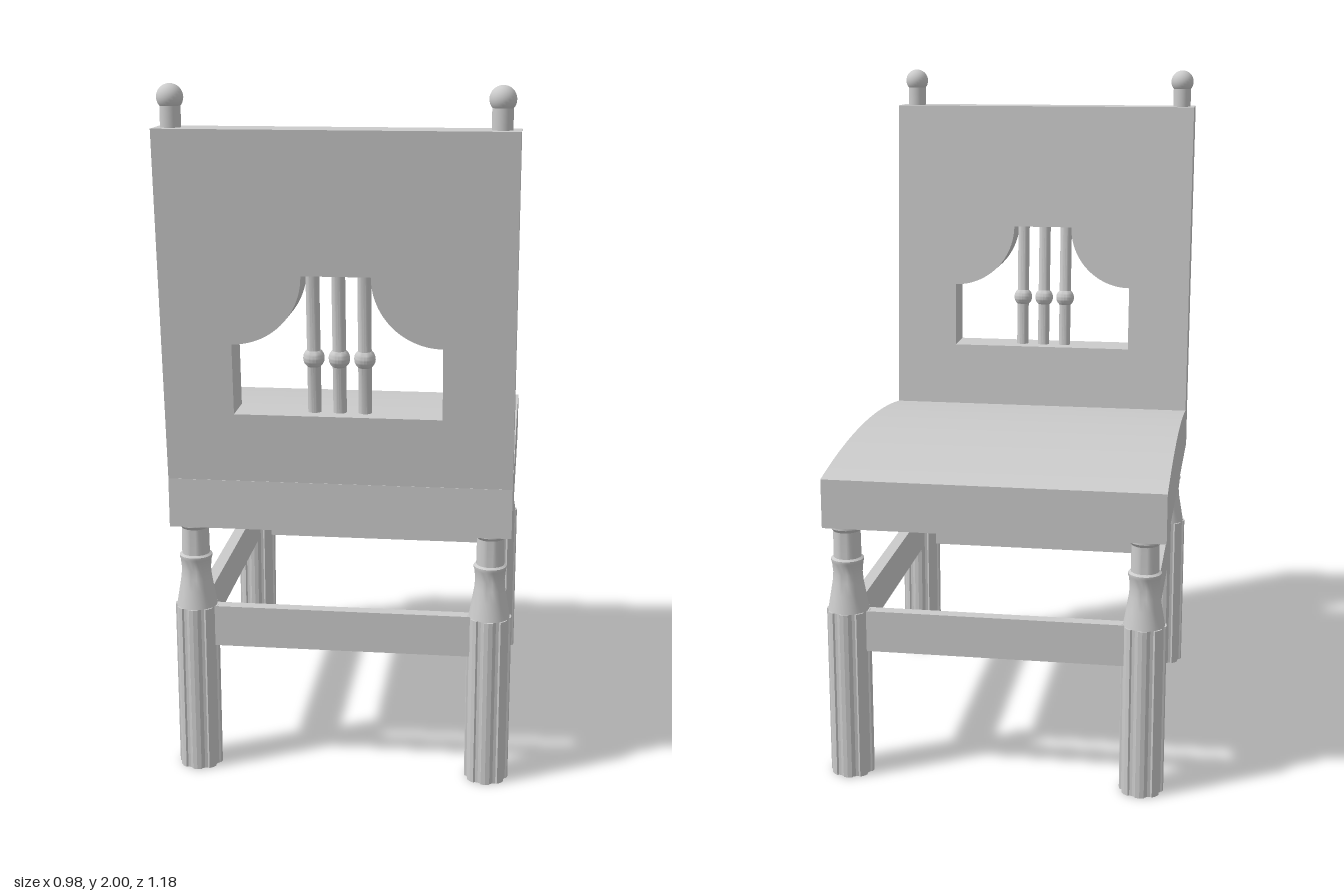
import * as THREE from 'three';
import { toCreasedNormals } from 'three/addons/utils/BufferGeometryUtils.js';

const material = new THREE.MeshStandardMaterial({ color: 0xcccccc });
const CX = -0.003; // centre line of the chair
const LEG_X = 0.426, LEG_Z = [-0.53, 0.452];
const SLOPE = 0.082; // lean of the back, z per unit of height
const lean = (y) => SLOPE * (y - 0.9);
const v = (points) => points.map(([x, y]) => new THREE.Vector2(x, y));

export function createModel() {
  const model = new THREE.Group();
  const add = (name, geometry, x = 0, y = 0, z = 0, parent = model) => {
    const mesh = new THREE.Mesh(geometry, material);
    mesh.name = name;
    mesh.position.set(x, y, z);
    parent.add(mesh);
    return mesh;
  };
  const extrude = (shape, depth) =>
    new THREE.ExtrudeGeometry(shape, { depth, bevelEnabled: false, curveSegments: 20 });
  const lathe = (points, sides = 28) =>
    toCreasedNormals(new THREE.LatheGeometry(v(points), sides), 0.6);

  // Seat: side profile with a gently domed top, swept across the width
  const side = new THREE.Shape();
  side.moveTo(-0.58, 0.757);
  side.lineTo(0.511, 0.757);
  side.lineTo(0.511, 0.9);
  side.lineTo(0.392, 0.9);
  side.quadraticCurveTo(-0.095, 0.98, -0.58, 0.9);
  side.closePath();
  const seat = extrude(side, 0.972);
  seat.rotateY(-Math.PI / 2);
  seat.translate(0.486, 0, 0);
  add('seat', toCreasedNormals(seat, 0.4), CX);

  // Back panel with a shouldered opening, sheared backwards
  const panel = new THREE.Shape(v([[-0.486, 0.9], [0.486, 0.9], [0.486, 1.885], [-0.486, 1.885]]));
  const opening = new THREE.Path();
  opening.moveTo(-0.29, 1.098);
  opening.lineTo(-0.29, 1.3);
  opening.absarc(-0.29, 1.495, 0.195, -Math.PI / 2, 0, false);
  opening.lineTo(0.095, 1.495);
  opening.absarc(0.29, 1.495, 0.195, Math.PI, Math.PI * 1.5, false);
  opening.lineTo(0.29, 1.098);
  opening.closePath();
  panel.holes.push(opening);
  const back = extrude(panel, 0.118);
  const pos = back.attributes.position;
  for (let i = 0; i < pos.count; i++) pos.setZ(i, pos.getZ(i) + 0.392 + lean(pos.getY(i)));
  back.computeVertexNormals();
  add('backPanel', toCreasedNormals(back, 0.4), CX);

  // Three beaded spindles, leaning with the back
  const beadArc = [];
  for (let i = 0; i <= 10; i++) {
    const a = -0.88 + (1.76 * i) / 10;
    beadArc.push([0.03 * Math.cos(a), 0.157 + 0.03 * Math.sin(a)]);
  }
  const spindle = lathe([[0.019, -0.01], [0.019, 0.133], ...beadArc, [0.019, 0.181], [0.019, 0.405]], 20);
  for (const x of [-0.071, 0, 0.071]) {
    const mesh = add('backSpindle', spindle, CX + x, 1.098, 0.451 + lean(1.098));
    mesh.rotation.x = Math.atan(SLOPE);
  }

  // Finials: short neck with a ball
  for (const s of [-1, 1]) {
    const finial = new THREE.Group();
    finial.name = 'finial';
    finial.position.set(s * 0.44 - 0.007, 1.88, 0.532);
    add('finialNeck', new THREE.CylinderGeometry(0.028, 0.028, 0.07, 24), 0, 0.035, 0, finial);
    add('finialBall', new THREE.SphereGeometry(0.036, 24, 16), 0, 0.084, 0, finial);
    model.add(finial);
  }

  // Leg shaft: eight flat ridges with shallow flutes between them
  const outline = [];
  for (let k = 0; k < 8; k++) {
    const a = (k * Math.PI) / 4;
    for (const [da, r] of [[-0.2, 0.063], [0, 0.064], [0.2, 0.063], [0.25, 0.058], [0.39, 0.056], [0.535, 0.058]])
      outline.push([r * Math.cos(a + da), r * Math.sin(a + da)]);
  }
  const shaft = extrude(new THREE.Shape(v(outline)), 0.503);
  shaft.rotateX(-Math.PI / 2);

  // Turned upper leg
  const turning = lathe([
    [0, 0.503], [0.059, 0.503], [0.05, 0.555], [0.044, 0.59], [0.042, 0.615], [0.045, 0.645],
    [0.047, 0.65], [0.047, 0.657], [0.04, 0.662], [0.039, 0.74], [0.048, 0.75], [0.048, 0.76],
  ]);
  for (const z of LEG_Z) {
    for (const s of [-1, 1]) {
      const leg = new THREE.Group();
      leg.name = z < 0 ? 'seatEdgeLeg' : 'backrestLeg';
      leg.position.set(s * LEG_X - 0.002, 0, z);
      add('flutedShaft', shaft, 0, 0, 0, leg);
      add('turnedTop', turning, 0, 0, 0, leg);
      model.add(leg);
    }
  }

  // Stretchers between the legs
  const span = LEG_Z[1] - LEG_Z[0], middle = (LEG_Z[0] + LEG_Z[1]) / 2;
  const cross = new THREE.BoxGeometry(LEG_X * 2 - 0.08, 0.122, 0.035);
  const long = new THREE.BoxGeometry(0.035, 0.122, span - 0.08);
  for (const z of LEG_Z) add('crossStretcher', cross, -0.002, 0.441, z);
  for (const s of [-1, 1]) add('sideStretcher', long, s * LEG_X - 0.002, 0.441, middle);

  return model;
}
